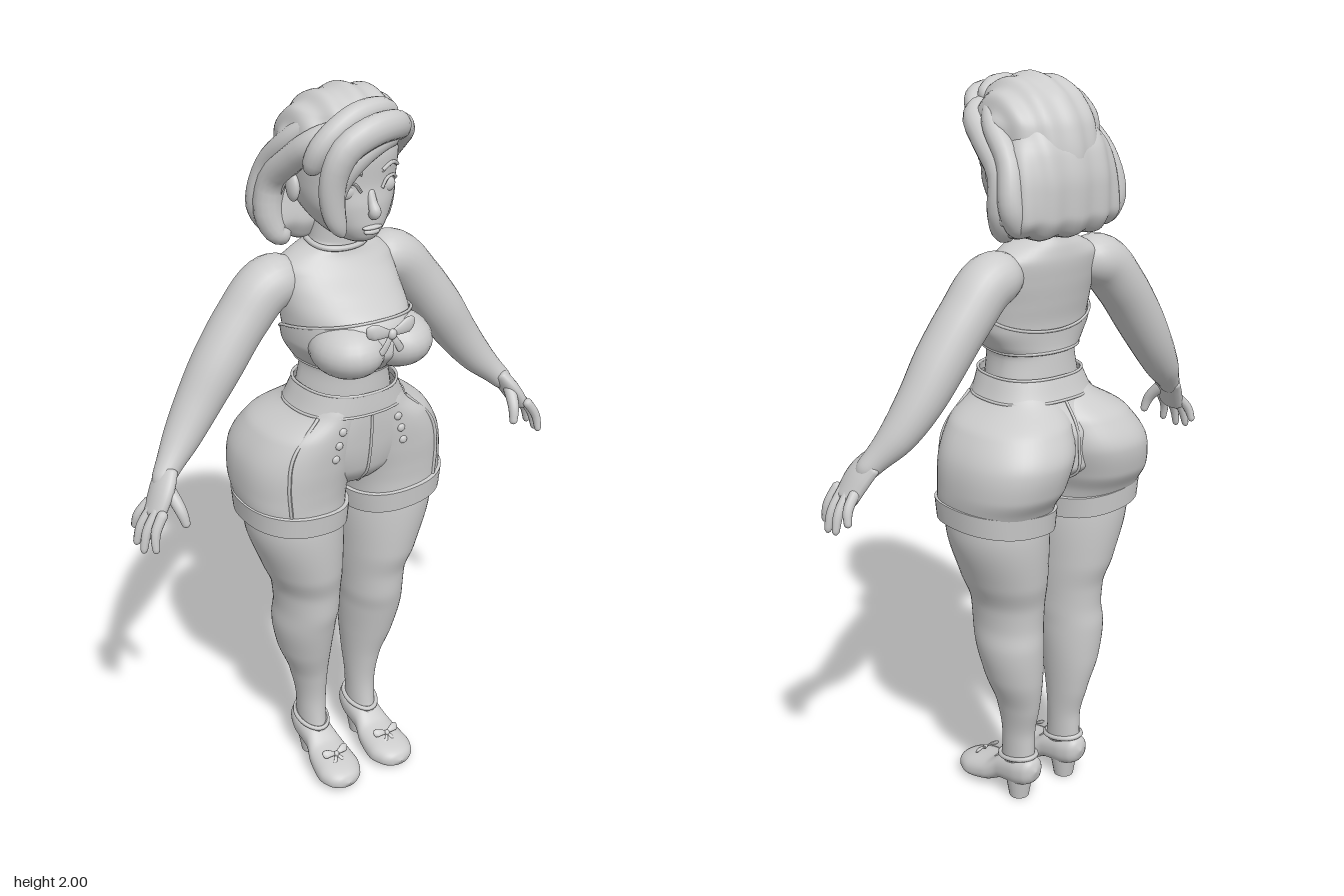
import * as THREE from 'three';

const mat = new THREE.MeshStandardMaterial({ color: 0xcccccc, side: THREE.DoubleSide });
const V = (x, y, z) => new THREE.Vector3(x, y, z);
const TAU = Math.PI * 2;

function mesh(name, geometry) {
  const m = new THREE.Mesh(geometry, mat);
  m.name = name;
  return m;
}

// Closed-in-u grid of f(u, v)
function grid(f, nu = 40, nv = 40) {
  const pos = [], idx = [];
  for (let j = 0; j <= nv; j++)
    for (let i = 0; i < nu; i++) pos.push(...f((i / nu) * TAU, j / nv).toArray());
  for (let j = 0; j < nv; j++)
    for (let i = 0; i < nu; i++) {
      const a = j * nu + i, b = j * nu + ((i + 1) % nu);
      idx.push(a, b, a + nu, b, b + nu, a + nu);
    }
  const g = new THREE.BufferGeometry();
  g.setAttribute('position', new THREE.Float32BufferAttribute(pos, 3));
  g.setIndex(idx);
  g.computeVertexNormals();
  return g;
}

// Smooth column interpolation of rows keyed by their first number
function sample(rows, y) {
  let i = 0;
  while (i < rows.length - 2 && y > rows[i + 1][0]) i++;
  const h = rows[i + 1][0] - rows[i][0], t = Math.min(1, Math.max(0, (y - rows[i][0]) / h));
  const slope = (k, c) => (rows[k + 1][c] - rows[k][c]) / (rows[k + 1][0] - rows[k][0]);
  const tan = (k, c) => {
    if (k === 0) return slope(0, c);
    if (k === rows.length - 1) return slope(k - 1, c);
    const a = slope(k - 1, c), b = slope(k, c);
    return a * b <= 0 ? 0 : (2 * a * b) / (a + b);
  };
  const t2 = t * t, t3 = t2 * t;
  return rows[0].map((_, c) => c === 0 ? y :
    (2 * t3 - 3 * t2 + 1) * rows[i][c] + (t3 - 2 * t2 + t) * h * tan(i, c) +
    (3 * t2 - 2 * t3) * rows[i + 1][c] + (t3 - t2) * h * tan(i + 1, c));
}

// Body surface from rows [y, centreX, centreZ, halfWidth, frontZ, backZ]; angle 0 faces the front
function surf(rows, e = 1) {
  return (y, a, off = 0) => {
    const [, cx, cz, rx, zf, zb] = sample(rows, y), s = Math.sin(a), c = Math.cos(a);
    const pw = (k) => Math.sign(k) * Math.abs(k) ** e;
    return V(cx + (rx + off) * pw(s), y, cz + ((c > 0 ? zf - cz : cz - zb) + off) * pw(c));
  };
}
const body = (s, lo, hi, nv = 50, off = 0) => grid((a, v) => s(lo + (hi - lo) * v, a, off), 48, nv);

// Round-ended tapered limb through points [x, y, z, radius]
function limb(pts, flat = 1, ref = V(0, 0, 1), nu = 16, nv = 28) {
  const curve = new THREE.CatmullRomCurve3(pts.map((p) => V(p[0], p[1], p[2])));
  const rad = pts.map((p, i) => [i / (pts.length - 1), p[3]]);
  return grid((a, t) => {
    const v = (1 - Math.cos(Math.PI * t)) / 2, end = Math.min(v, 1 - v) / 0.1;
    const r = sample(rad, v)[1] * (end < 1 ? Math.sqrt(Math.max(0, 1 - (1 - end) ** 2)) : 1);
    const T = curve.getTangent(v), side = ref.clone().cross(T).normalize(), up = T.clone().cross(side);
    return curve.getPoint(v).addScaledVector(side, r * Math.cos(a)).addScaledVector(up, r * flat * Math.sin(a));
  }, nu, nv);
}

const ball = (x, y, z, rx, ry, rz) => new THREE.SphereGeometry(1, 24, 16).scale(rx, ry, rz).translate(x, y, z);
const tube = (pts, r, closed = false) =>
  new THREE.TubeGeometry(new THREE.CatmullRomCurve3(pts, closed), closed ? 64 : 24, r, 6, closed);
const ringOn = (s, yAt, off, r) =>
  tube(Array.from({ length: 32 }, (_, i) => s(yAt((i / 32) * TAU), (i / 32) * TAU, off)), r, true);

// Adds a mesh and its copy reflected in x
function pair(group, name, g) {
  group.add(mesh('left' + name, g));
  const m = g.clone().scale(-1, 1, 1), ix = m.index.array;
  for (let i = 0; i < ix.length; i += 3) [ix[i], ix[i + 1]] = [ix[i + 1], ix[i]];
  m.computeVertexNormals();
  group.add(mesh('right' + name, m));
}

// Ribbon bow: two loops, two tails and a knot
function bow(name, size) {
  const g = new THREE.Group();
  g.name = name;
  for (const s of [1, -1]) {
    g.add(mesh('bowLoop', limb([[0, 0, 0, 0.1], [s * 0.4, 0.12, 0.05, 0.22], [s * 0.75, 0.2, 0, 0.3], [s, 0.15, -0.1, 0.22]], 0.4)));
    g.add(mesh('bowTail', limb([[0, 0, 0, 0.1], [s * 0.2, -0.35, 0.05, 0.13], [s * 0.45, -0.75, 0, 0.15]], 0.4)));
  }
  g.add(mesh('bowKnot', ball(0, 0, 0.06, 0.18, 0.2, 0.15)));
  g.scale.setScalar(size);
  return g;
}

export function createModel() {
  const model = new THREE.Group();
  model.name = 'woman';
  const add = (name, g) => model.add(mesh(name, g));

  // Torso and neck
  const torso = surf([
    [1.16, 0, -0.02, 0.14, 0.12, -0.12], [1.24, 0, -0.02, 0.122, 0.128, -0.11], [1.3, 0, -0.02, 0.112, 0.13, -0.105],
    [1.33, 0, -0.02, 0.132, 0.16, -0.103], [1.38, 0, -0.02, 0.158, 0.2, -0.105], [1.44, 0, -0.03, 0.163, 0.185, -0.115],
    [1.5, 0, -0.05, 0.165, 0.115, -0.125], [1.55, 0, -0.06, 0.165, 0.05, -0.13], [1.585, 0, -0.05, 0.12, 0.025, -0.125],
    [1.61, 0, -0.045, 0.068, 0.02, -0.115], [1.7, 0, -0.04, 0.062, 0.03, -0.1]]);
  add('torso', body(torso, 1.16, 1.7, 70));
  add('choker', ringOn(torso, (a) => 1.609 - 0.01 * Math.cos(a), 0.004, 0.008));

  // Strapless top
  const topEdge = (a) => 1.415 + 0.045 * Math.cos(a);
  add('top', grid((a, v) => torso(1.312 + (topEdge(a) - 1.312) * v, a, 0.007), 48, 24));
  pair(model, 'Bust', ball(0.07, 1.383, 0.125, 0.092, 0.07, 0.105));
  add('topEdge', ringOn(torso, topEdge, 0.006, 0.004));
  add('topHem', ringOn(torso, () => 1.313, 0.005, 0.005));
  const chestBow = bow('chestBow', 0.068);
  chestBow.position.set(0, 1.44, 0.215);
  model.add(chestBow);

  // Arms and hands
  pair(model, 'Arm', limb([[0.09, 1.52, -0.06, 0.055], [0.185, 1.512, -0.06, 0.07], [0.26, 1.437, -0.06, 0.068],
    [0.33, 1.345, -0.055, 0.066], [0.395, 1.25, -0.05, 0.058], [0.455, 1.17, -0.035, 0.047], [0.51, 1.11, -0.01, 0.032],
    [0.545, 1.07, 0.01, 0.026]], 1.05, V(0, 0, 1), 24, 48));
  pair(model, 'Palm', limb([[0.51, 1.115, -0.01, 0.02], [0.54, 1.07, 0.015, 0.023], [0.575, 1.01, 0.03, 0.02]], 2));
  [[0.068, 0.597, 0.945, 0.088], [0.044, 0.615, 0.932, 0.05], [0.019, 0.617, 0.938, 0.012], [-0.004, 0.603, 0.965, -0.025]]
    .forEach(([z, x, y, tz], i) => pair(model, 'Finger' + i, limb([[0.56, 1.045, z, 0.014],
      [(0.565 + x) / 2 + 0.01, (1.045 + y) / 2, (z + tz) / 2, 0.0125], [x, y, tz, 0.009]], 1, V(0, 0, 1), 10, 16)));
  pair(model, 'Thumb', limb([[0.53, 1.085, 0.025, 0.018], [0.517, 1.035, 0.07, 0.015], [0.508, 0.99, 0.084, 0.01]]));

  // Shorts
  const pelvis = surf([[0.94, 0, -0.02, 0.02, 0.03, -0.06], [0.97, 0, -0.02, 0.09, 0.08, -0.13], [1.02, 0, -0.02, 0.17, 0.115, -0.19],
    [1.1, 0, -0.02, 0.21, 0.13, -0.19], [1.19, 0, -0.01, 0.152, 0.136, -0.135], [1.25, 0, -0.01, 0.124, 0.134, -0.112]], 0.85);
  const hip = surf([[0.88, 0.148, -0.03, 0.135, 0.115, -0.175], [0.93, 0.15, -0.03, 0.142, 0.115, -0.2],
    [0.98, 0.145, -0.04, 0.15, 0.118, -0.23], [1.05, 0.13, -0.04, 0.157, 0.125, -0.242], [1.13, 0.1, -0.03, 0.142, 0.13, -0.205],
    [1.19, 0.06, -0.01, 0.093, 0.13, -0.135], [1.23, 0.045, 0, 0.08, 0.12, -0.1]], 0.87);
  add('shortsCentre', body(pelvis, 0.94, 1.245));
  pair(model, 'ShortsHalf', body(hip, 0.88, 1.23));
  add('waistband', body(pelvis, 1.19, 1.247, 8, 0.005));
  for (const y of [1.19, 1.247]) add('waistSeam', ringOn(pelvis, () => y, 0.004, 0.004));
  for (const a of [0, Math.PI])
    add('centreSeam', tube([1.19, 1.13, 1.07, 1.01, 0.96].map((y) => pelvis(y, a, 0.002)), 0.004));
  pair(model, 'PocketSeam', tube([[0.83, 1.19], [0.66, 1.1], [0.55, 1.02], [0.47, 0.93]].map(([a, y]) => hip(y, a, 0.001)), 0.005));
  [[0.0, 1.155], [-0.05, 1.118], [-0.08, 1.08]].forEach(([a, y]) => {
    const p = hip(y, a);
    pair(model, 'Button', ball(p.x, p.y, Math.max(p.z, 0.127), 0.011, 0.011, 0.007));
  });
  const cuff = [[0.866, -0.02], [0.863, 0.006], [0.863, 0.006], [0.92, 0.011], [0.92, 0.011], [0.924, -0.02]];
  pair(model, 'Cuff', grid((a, v) => {
    const [y, off] = cuff[Math.round(v * 5)], p = hip(0.9, a, off);
    return p.setY(y + 0.016 * Math.sin(a));
  }, 48, 5));

  // Legs
  const leg = surf([[0.08, 0.085, -0.04, 0.036, 0.03, -0.095], [0.13, 0.085, -0.045, 0.038, 0.012, -0.1], [0.2, 0.085, -0.045, 0.04, 0.006, -0.1],
    [0.3, 0.09, -0.05, 0.051, 0.018, -0.122], [0.4, 0.104, -0.05, 0.073, 0.045, -0.14], [0.5, 0.11, -0.04, 0.085, 0.07, -0.145],
    [0.56, 0.106, -0.03, 0.086, 0.083, -0.14], [0.62, 0.107, -0.03, 0.09, 0.087, -0.143], [0.7, 0.12, -0.03, 0.107, 0.106, -0.162],
    [0.85, 0.142, -0.03, 0.132, 0.115, -0.175], [0.92, 0.145, -0.03, 0.13, 0.11, -0.17]]);
  pair(model, 'Leg', body(leg, 0.08, 0.92, 70));

  // Heeled shoes, lofted from toe to heel
  const shoe = surf([[-0.178, 0.09, 0.03, 0, 0.03, 0.03], [-0.172, 0.09, 0.03, 0.028, 0.046, 0.014], [-0.15, 0.09, 0.03, 0.053, 0.06, 0.006],
    [-0.11, 0.088, 0.03, 0.066, 0.072, 0.003], [-0.05, 0.086, 0.045, 0.06, 0.085, 0.012], [0, 0.085, 0.075, 0.047, 0.118, 0.035],
    [0.06, 0.085, 0.09, 0.046, 0.135, 0.045], [0.1, 0.085, 0.1, 0.037, 0.14, 0.06], [0.118, 0.085, 0.105, 0.018, 0.125, 0.085],
    [0.122, 0.085, 0.105, 0, 0.105, 0.105]], 0.85);
  pair(model, 'Shoe', body(shoe, -0.178, 0.122, 50).rotateX(-Math.PI / 2));
  pair(model, 'ShoeHeel', new THREE.CylinderGeometry(0.043, 0.028, 0.09, 20).translate(0.085, 0.045, -0.048));
  pair(model, 'AnkleStrap', ringOn(leg, (a) => 0.132 - 0.012 * Math.cos(a), 0.004, 0.007));
  for (const s of [1, -1]) {
    const b = bow('shoeBow', 0.04);
    b.position.set(s * 0.088, 0.083, 0.1);
    b.rotation.x = -0.8;
    model.add(b);
  }

  // Head and face
  const head = surf([[1.63, 0, 0.06, 0, 0.06, 0.06], [1.635, 0, 0.05, 0.025, 0.09, 0.02], [1.65, 0, 0.03, 0.055, 0.115, -0.03],
    [1.69, 0, 0, 0.092, 0.127, -0.09], [1.73, 0, -0.01, 0.115, 0.127, -0.12], [1.78, 0, -0.02, 0.128, 0.122, -0.15],
    [1.84, 0, -0.02, 0.134, 0.125, -0.16], [1.9, 0, -0.02, 0.122, 0.108, -0.14], [1.95, 0, -0.02, 0.075, 0.055, -0.09], [1.97, 0, -0.02, 0, -0.02, -0.02]], 0.92);
  add('head', body(head, 1.63, 1.97));
  add('nose', limb([[0, 1.775, 0.112, 0.01], [0, 1.74, 0.128, 0.012], [0, 1.722, 0.138, 0.015], [0, 1.71, 0.125, 0.012]], 1, V(1, 0, 0)));
  add('upperLip', ball(0, 1.682, 0.127, 0.028, 0.006, 0.009));
  add('lowerLip', ball(0, 1.671, 0.125, 0.022, 0.008, 0.01));
  const onFace = (x, y, off) => head(y, Math.asin(x / 0.13), off);
  pair(model, 'Eye', ball(0.053, 1.772, 0.1, 0.027, 0.021, 0.016));
  pair(model, 'Eyelid', tube([[0.026, 1.772], [0.04, 1.792], [0.062, 1.795], [0.084, 1.782]].map(([x, y]) => onFace(x, y, 0.003)), 0.004));
  pair(model, 'Brow', tube([[0.024, 1.815], [0.055, 1.827], [0.088, 1.812]].map(([x, y]) => onFace(x, y, 0.002)), 0.005));
  pair(model, 'Ear', ball(0.134, 1.765, -0.015, 0.014, 0.036, 0.024));

  // Hair with strands running front to back
  const strands = (p, width) => {
    const wave = Math.cos(14 * Math.asin(Math.max(-1, Math.min(1, p.x / width))));
    return p.sub(V(0, 1.8, -0.03)).multiplyScalar(1 + 0.02 * wave).add(V(0, 1.8, -0.03));
  };
  const cap = surf([[1.68, 0, -0.03, 0.15, 0.1, -0.185], [1.8, 0, -0.03, 0.15, 0.115, -0.182], [1.88, 0, -0.03, 0.154, 0.122, -0.165],
    [1.945, 0, -0.02, 0.125, 0.105, -0.12], [1.975, 0, -0.01, 0.085, 0.07, -0.075], [1.99, 0, 0, 0.045, 0.035, -0.04], [1.996, 0, 0, 0, 0, 0]]);
  add('hairCap', grid((a, v) => {
    const k = THREE.MathUtils.smoothstep(Math.abs(Math.PI - a), 1.1, 2.3);
    const lo = 1.7 + 0.175 * k;
    return strands(cap(lo + (1.996 - lo) * Math.sin(v * Math.PI / 2), a), 0.16);
  }, 96, 40));
  const bob = surf([[1.61, 0, -0.1, 0, -0.1, -0.1], [1.614, 0, -0.1, 0.11, -0.06, -0.14], [1.63, 0, -0.1, 0.155, -0.045, -0.172],
    [1.67, 0, -0.1, 0.185, -0.03, -0.19], [1.74, 0, -0.1, 0.172, -0.035, -0.192], [1.82, 0, -0.1, 0.15, -0.03, -0.178],
    [1.9, 0, -0.08, 0.11, -0.03, -0.13]], 0.85);
  add('hairBob', grid((a, v) => strands(bob(1.61 + 0.29 * v * v, a), 0.19), 96, 32));
  pair(model, 'HairWave', limb([[0.06, 1.925, 0.1, 0.025], [0.12, 1.89, 0.065, 0.033], [0.142, 1.84, 0.0, 0.034], [0.155, 1.77, -0.075, 0.036],
    [0.162, 1.69, -0.085, 0.038], [0.145, 1.635, -0.07, 0.03], [0.115, 1.63, -0.06, 0.02]], 1, V(1, 0.2, 0.3)));
  pair(model, 'HairSide', limb([[0.09, 1.94, 0.04, 0.02], [0.135, 1.88, -0.02, 0.028], [0.155, 1.8, -0.1, 0.03], [0.168, 1.7, -0.125, 0.032],
    [0.14, 1.625, -0.12, 0.022]], 1, V(1, 0.2, 0.3)));
  // Swept fringe falling on the right side
  add('fringe', limb([[0.1, 1.885, 0.1, 0.022], [0.05, 1.925, 0.145, 0.035], [-0.03, 1.925, 0.165, 0.037], [-0.095, 1.89, 0.16, 0.037],
    [-0.12, 1.82, 0.145, 0.034], [-0.115, 1.74, 0.14, 0.029], [-0.092, 1.68, 0.145, 0.016]], 0.85));
  add('fringeUnder', limb([[0.07, 1.885, 0.115, 0.02], [0.01, 1.893, 0.145, 0.026], [-0.055, 1.862, 0.145, 0.03], [-0.095, 1.8, 0.13, 0.026],
    [-0.11, 1.72, 0.125, 0.018]], 0.9));
  add('fringeTop', limb([[0.09, 1.93, 0.075, 0.022], [0.03, 1.955, 0.1, 0.028], [-0.05, 1.945, 0.11, 0.03], [-0.12, 1.89, 0.1, 0.03], [-0.14, 1.82, 0.07, 0.024]]));
  return model;
}
